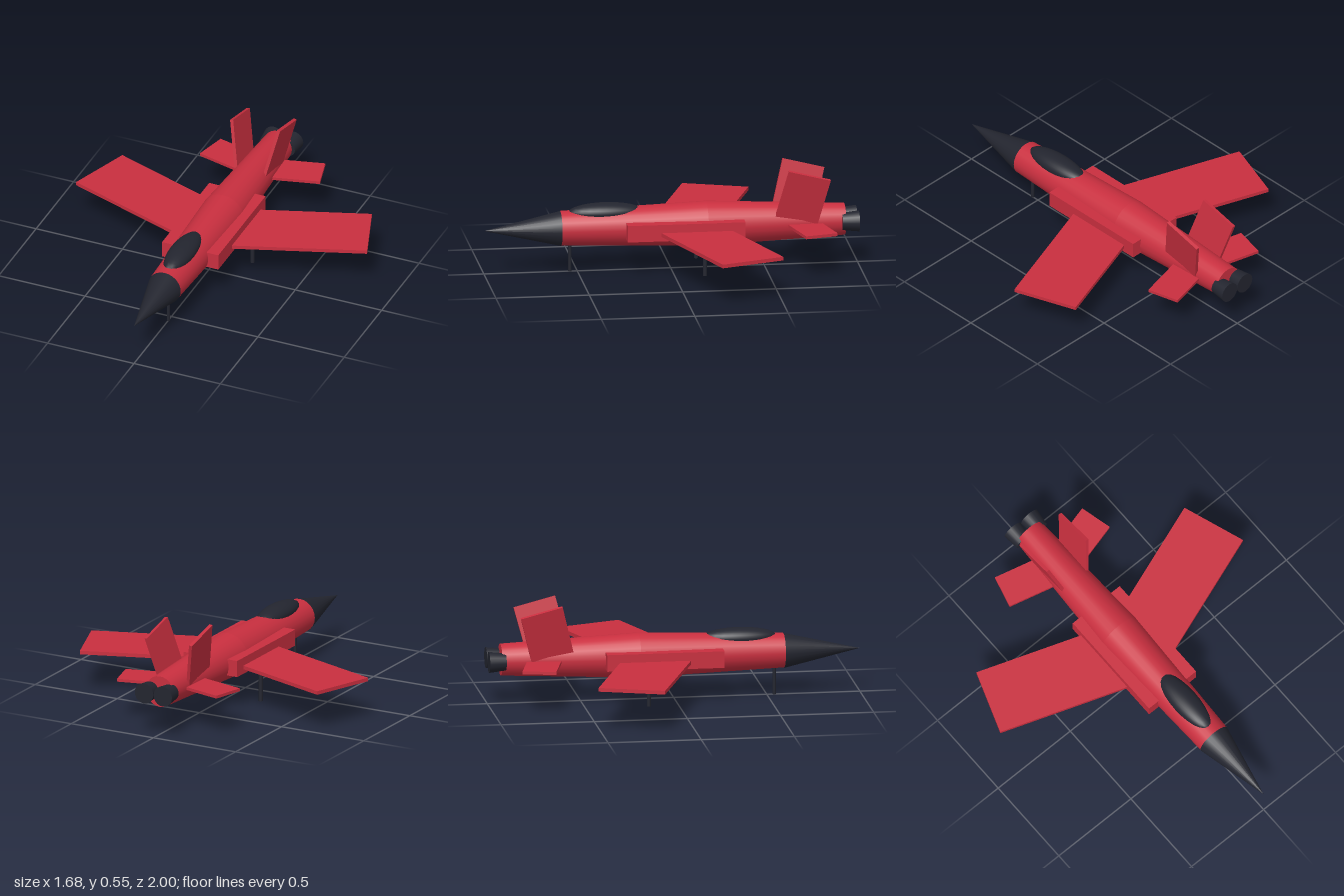
import * as THREE from 'three';

export function createModel() {
  const group = new THREE.Group();
  const red = new THREE.MeshStandardMaterial({ color: 0xc92f3f });
  red.name = 'red paint';
  const dark = new THREE.MeshStandardMaterial({ color: 0x23252f });
  dark.name = 'dark grey';
  const axisY = 0.238;

  const add = (name, geometry, material, x, y, z) => {
    const mesh = new THREE.Mesh(geometry, material);
    mesh.name = name;
    mesh.position.set(x, y, z);
    group.add(mesh);
    return mesh;
  };

  // Tapered round section lying along z, from zBack to zFront
  const section = (name, rFront, rBack, zFront, zBack, material, x = 0, sides = 24) => {
    const geo = new THREE.CylinderGeometry(rFront, rBack, zFront - zBack, sides);
    geo.rotateX(Math.PI / 2);
    return add(name, geo, material, x, axisY, (zFront + zBack) / 2);
  };

  // Fuselage and nose
  section('frontFuselage', 0.092, 0.12, 0.59, -0.19, red);
  section('rearFuselage', 0.12, 0.085, -0.19, -0.93, red);
  const nose = new THREE.ConeGeometry(0.093, 0.41, 24);
  nose.rotateX(Math.PI / 2);
  add('noseCone', nose, dark, 0, 0.236, 0.795);

  // Canopy
  const canopy = new THREE.SphereGeometry(1, 24, 16);
  canopy.scale(0.07, 0.05, 0.2);
  add('canopy', canopy, dark, 0, 0.32, 0.35);

  // Swept flat surface placed by the middle of its tip edge
  const sweptPanel = (name, side, span, thick, chord, tipX, y, tipZ, sweep) => {
    const x = tipX - Math.cos(sweep) * span / 2;
    const z = tipZ + Math.sin(sweep) * span / 2;
    const panel = add(name, new THREE.BoxGeometry(span, thick, chord), red, side * x, y, z);
    panel.rotation.y = side * sweep;
  };

  for (const side of [1, -1]) {
    const label = side > 0 ? 'left' : 'right';

    // Side intake, wing and tailplane
    add(label + 'Intake', new THREE.BoxGeometry(0.1, 0.09, 0.63), red, side * 0.113, 0.235, -0.065);
    sweptPanel(label + 'Wing', side, 0.74, 0.02, 0.36, 0.782, 0.225, -0.34, 0.34);
    sweptPanel(label + 'Tailplane', side, 0.28, 0.016, 0.18, 0.325, 0.233, -0.768, 0.25);

    // Canted tail fin
    const fin = add(label + 'Fin', new THREE.BoxGeometry(0.018, 0.28, 0.23), red,
      side * 0.108, 0.384, -0.694);
    fin.rotation.set(-0.25, 0, -side * 0.2);

    // Exhaust nozzle
    section(label + 'Nozzle', 0.046, 0.056, -0.91, -1, dark, side * 0.057, 20);

    // Main landing strut
    add(label + 'MainStrut', new THREE.CylinderGeometry(0.011, 0.011, 0.186, 12), dark,
      side * 0.183, 0.093, -0.16);
  }

  // Nose landing strut
  add('noseStrut', new THREE.CylinderGeometry(0.009, 0.009, 0.17, 12), dark, 0, 0.085, 0.54);

  return group;
}
